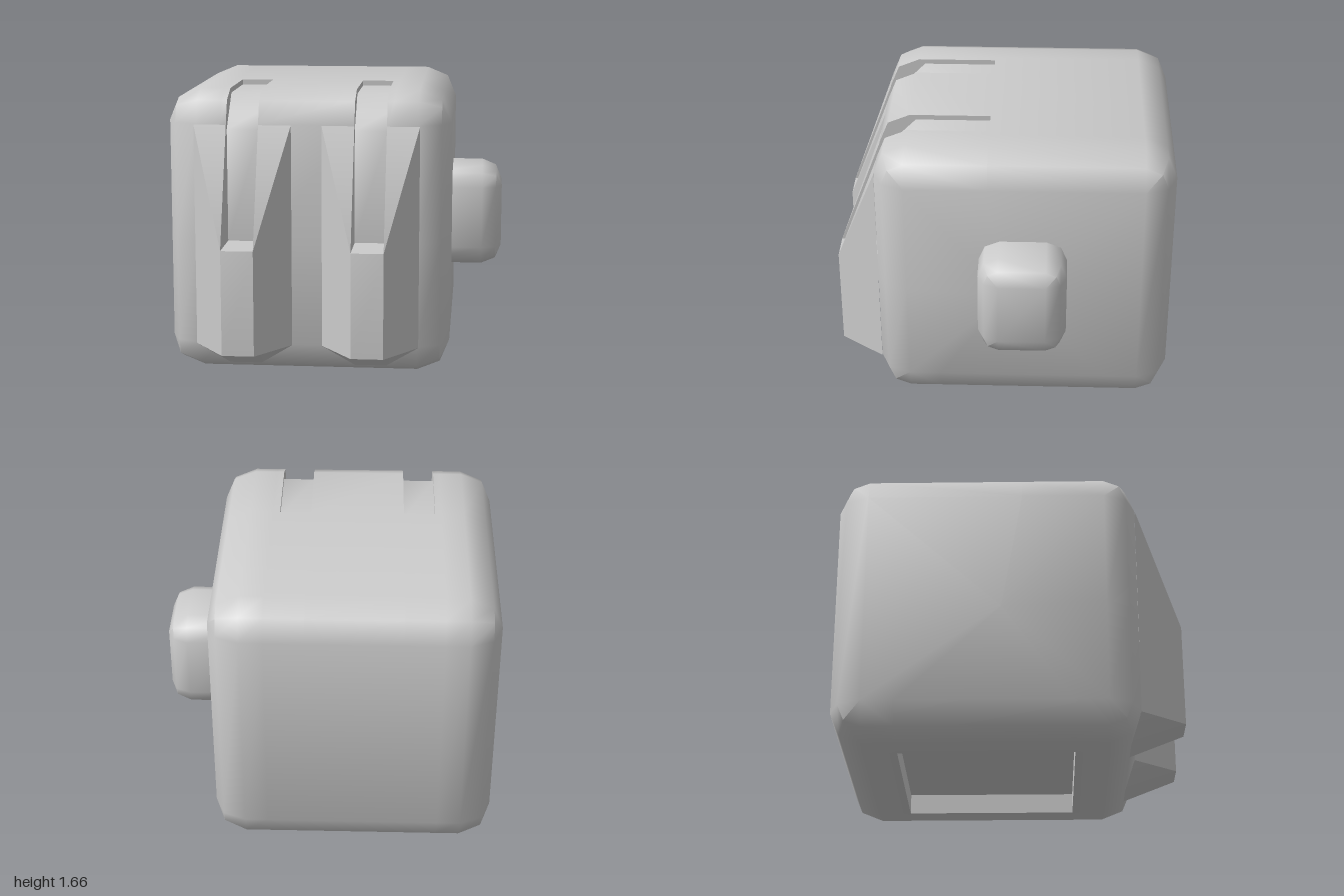
import * as THREE from 'three';
import { toCreasedNormals } from 'three/addons/utils/BufferGeometryUtils.js';

const material = new THREE.MeshStandardMaterial({ color: 0xcccccc });
const SLOT_HALF = 0.0925;
const RIDGE_HALF = 0.28;
const RIDGE_CENTRES = [-0.52, 0.215];
const RECESS = { x0: -0.65, x1: 0.35, z0: -0.63, z1: 0.37, depth: 0.12 };

function toMesh(name, triangles) {
  const geometry = new THREE.BufferGeometry();
  geometry.setAttribute('position', new THREE.Float32BufferAttribute(triangles.flat(2), 3));
  const mesh = new THREE.Mesh(toCreasedNormals(geometry, 0.9), material);
  mesh.name = name;
  return mesh;
}

// Skins cross-sections that run along x and closes both ends with fans.
function loft(sections) {
  const tris = [];
  const area = new THREE.Triangle();
  const add = (a, b, c) => {
    area.set(new THREE.Vector3(...a), new THREE.Vector3(...b), new THREE.Vector3(...c));
    if (area.getArea() > 1e-7) tris.push([a, b, c]);
  };
  const n = sections[0].length;
  for (let i = 0; i < sections.length - 1; i++) {
    for (let j = 0; j < n; j++) {
      const k = (j + 1) % n;
      const [a, b] = [sections[i][j], sections[i][k]];
      const [c, d] = [sections[i + 1][j], sections[i + 1][k]];
      add(a, b, c);
      add(b, d, c);
    }
  }
  const ends = [[sections[0], false], [sections[sections.length - 1], true]];
  for (const [s, flip] of ends) {
    const centre = [0, 1, 2].map((q) => s.reduce((sum, p) => sum + p[q], 0) / n);
    for (let j = 0; j < n; j++) {
      const k = (j + 1) % n;
      if (flip) add(centre, s[j], s[k]);
      else add(centre, s[k], s[j]);
    }
  }
  return tris;
}

// Box with two-step rounded edges; stations add slot and recess cuts.
function bevelledBox(lo, hi, r, stations = null) {
  const section = (x, inset, slot = false, recess = false) => {
    const radius = r - inset;
    const [z0, z1, y0, y1] = [lo[2] + r, hi[2] - r, lo[1] + r, hi[1] - r];
    const corner = (z, y, start) => [0, 1, 2].map((i) => {
      const a = start - (i * Math.PI) / 4;
      return [x, y + radius * Math.sin(a), z + radius * Math.cos(a)];
    });
    const pts = [...corner(z0, y0, Math.PI * 1.5), ...corner(z0, y1, Math.PI)];
    const [top, front, bottom] = [y1 + radius, z1 + radius, y0 - radius];
    if (stations) pts.push([x, top, 0.08], [x, slot ? 1.63 : top, 0.08]);
    if (slot) pts.push([x, 1.63, 0.52], [x, 1.535, 0.615], [x, 1.44, 0.71]);
    else pts.push(...corner(z1, y1, Math.PI / 2));
    if (stations) pts.push([x, 0.79, slot ? 0.71 : front], [x, 0.79, front]);
    pts.push(...corner(z1, y0, 0));
    if (stations) {
      const roof = recess ? bottom + RECESS.depth : bottom;
      pts.push([x, bottom, RECESS.z1], [x, roof, RECESS.z1]);
      pts.push([x, roof, RECESS.z0], [x, bottom, RECESS.z0]);
    }
    return pts;
  };
  const angles = [Math.PI / 2, Math.PI / 4, 0];
  const end = (a, x, side) => section(x + side * r * Math.sin(a), r * (1 - Math.cos(a)));
  return loft([
    ...angles.map((a) => end(a, lo[0] + r, -1)),
    ...(stations || []).map(([x, slot, recess]) => section(x, 0, slot, recess)),
    ...angles.slice().reverse().map((a) => end(a, hi[0] - r, 1)),
  ]);
}

// Tapered front ridge, split above its ledge by the slot.
function ridge(centre) {
  const tris = [];
  const at = (s, x, y, z) => [centre + s * x, y, z];
  const corners = (s) => ({
    a: at(s, SLOT_HALF, 0.18, 1),
    b: at(s, RIDGE_HALF, 0.18, 0.74),
    c: at(s, RIDGE_HALF, 1.47, 0.74),
    d: at(s, SLOT_HALF, 0.79, 1),
    e: at(s, SLOT_HALF, 1.47, 0.74),
    f: at(s, SLOT_HALF, 0.79, 0.71),
    g: at(s, SLOT_HALF, 0, 0.55),
  });
  // Side, sloping top, slot wall and underside, mirrored
  for (const s of [1, -1]) {
    const { a, b, c, d, e, f, g } = corners(s);
    for (const t of [[a, b, c], [a, c, d], [d, c, e], [d, e, f], [a, g, b]]) {
      tris.push(s > 0 ? t : t.reverse());
    }
  }
  // Front, ledge and underside in the middle
  const [p, m] = [corners(1), corners(-1)];
  for (const [q, r, s, t] of [[m.a, p.a, p.d, m.d], [m.d, p.d, p.f, m.f], [p.a, m.a, m.g, p.g]]) {
    tris.push([q, r, s], [q, s, t]);
  }
  return tris;
}

export function createModel() {
  const model = new THREE.Group();
  model.name = 'ridgedBlock';

  // Body with two slots over the front edge and a square recess below
  const stations = [[RECESS.x0, false, false], [RECESS.x0, false, true]];
  for (const c of RIDGE_CENTRES) {
    const [x0, x1] = [c - SLOT_HALF, c + SLOT_HALF];
    stations.push([x0, false, true], [x0, true, true], [x1, true, true], [x1, false, true]);
  }
  stations.push([RECESS.x1, false, true], [RECESS.x1, false, false]);
  model.add(toMesh('body', bevelledBox([-0.97, 0, -1], [0.67, 1.66, 0.74], 0.185, stations)));

  // Front ridges
  RIDGE_CENTRES.forEach((c, i) => model.add(toMesh(i ? 'leftRidge' : 'rightRidge', ridge(c))));

  // Side knob
  model.add(toMesh('sideKnob', bevelledBox([0.4, 0.53, -0.38], [0.97, 1.14, 0.13], 0.12)));
  return model;
}
